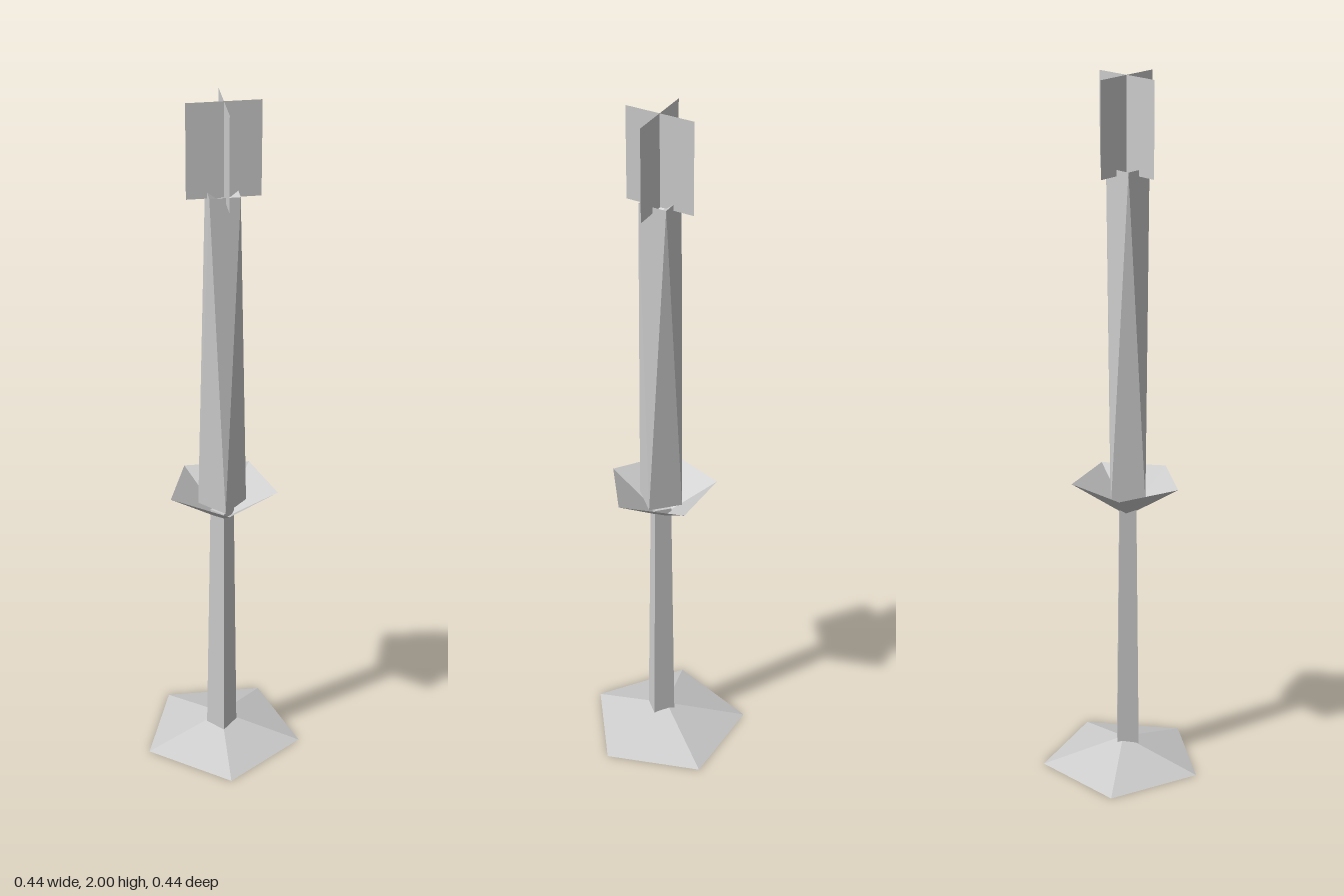
import * as THREE from 'three';

const deg = THREE.MathUtils.degToRad;

export function createModel() {
  const group = new THREE.Group();
  const grey = new THREE.MeshStandardMaterial({ color: 0xcccccc, flatShading: true, side: THREE.DoubleSide });
  grey.name = 'pale grey';
  const axisX = 0.006, axisZ = 0.023;

  const add = (name, geometry, x, y, z, turn = 0) => {
    const mesh = new THREE.Mesh(geometry, grey);
    mesh.name = name;
    mesh.position.set(x, y, z);
    mesh.rotation.y = deg(turn);
    group.add(mesh);
    return mesh;
  };

  // Hollow five-sided foot
  add('foot', new THREE.ConeGeometry(0.234, 0.07, 5, 1, true), 0.014, 0.035, 0.007, 48);

  // Tapered square stem
  add('stem', new THREE.CylinderGeometry(0.033, 0.044, 0.755, 4, 1), axisX, 0.4225, axisZ, -23);

  // Open five-sided drip cup
  add('dripCup', new THREE.CylinderGeometry(0.156, 0, 0.105, 5, 1, true), 0.007, 0.8175, 0.022, 48);

  // Twisted square candle with a hollow top
  const corner = (radius, y, angle) => [radius * Math.cos(deg(angle)), y, radius * Math.sin(deg(angle))];
  const bottom = (k) => corner(0.067, 0.825, 23 + 90 * k);
  const top = (k) => corner(0.057, 1.757, -22 + 90 * k);
  const well = [0, 1.725, 0], base = [0, 0.825, 0];
  const points = [];
  for (let k = 0; k < 4; k++) {
    points.push(
      bottom(k), top(k), top(k + 1),
      top(k + 1), bottom(k + 1), bottom(k),
      well, top(k + 1), top(k),
      base, bottom(k), bottom(k + 1),
    );
  }
  const candle = new THREE.BufferGeometry();
  candle.setAttribute('position', new THREE.Float32BufferAttribute(points.flat(), 3));
  candle.computeVertexNormals();
  add('candle', candle, axisX, 0, axisZ);

  // Flame made of two crossed sheets
  for (const turn of [-23, 67]) {
    add('flameSheet', new THREE.PlaneGeometry(0.195, 0.26), 0.009, 1.87, axisZ, turn);
  }
  return group;
}
